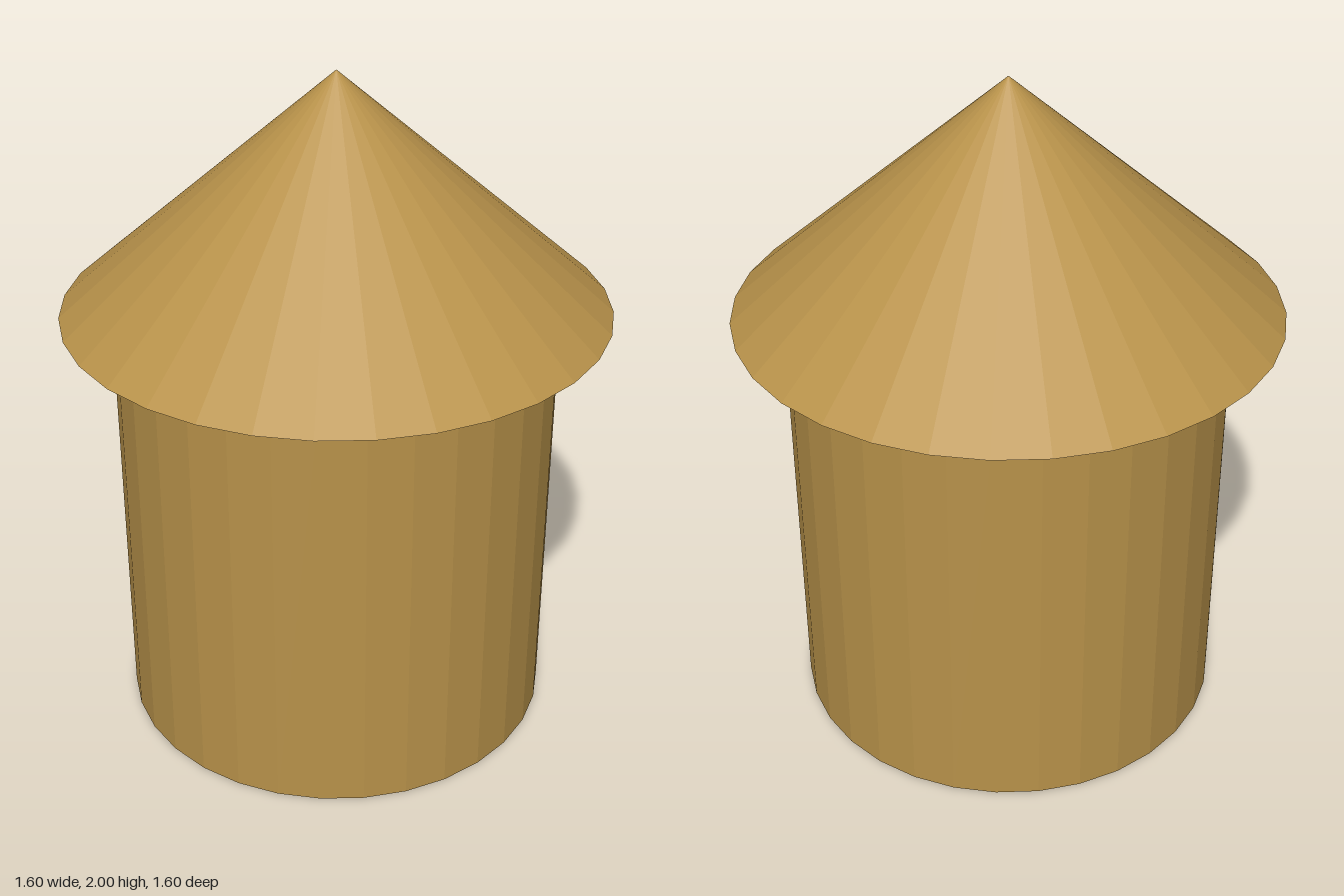
import * as THREE from 'three';

const SIDES = 32;
const WALL_HEIGHT = 1.3;
const ROOF_HEIGHT = 0.7;

export function createModel() {
  const group = new THREE.Group();
  group.name = 'roundHut';

  const straw = new THREE.MeshStandardMaterial({
    name: 'straw', color: 0xb8924a, flatShading: true, side: THREE.DoubleSide,
  });

  const addPart = (name, geometry, y) => {
    const mesh = new THREE.Mesh(geometry, straw);
    mesh.name = name;
    mesh.position.y = y;
    group.add(mesh);
  };

  // Thin round wall, open at the bottom
  addPart('wall', new THREE.CylinderGeometry(0.65, 0.65, WALL_HEIGHT, SIDES, 1, true), WALL_HEIGHT / 2);

  // Conical roof with a flat underside and overhanging eaves
  addPart('roof', new THREE.ConeGeometry(0.8, ROOF_HEIGHT, SIDES), WALL_HEIGHT + ROOF_HEIGHT / 2);

  return group;
}
